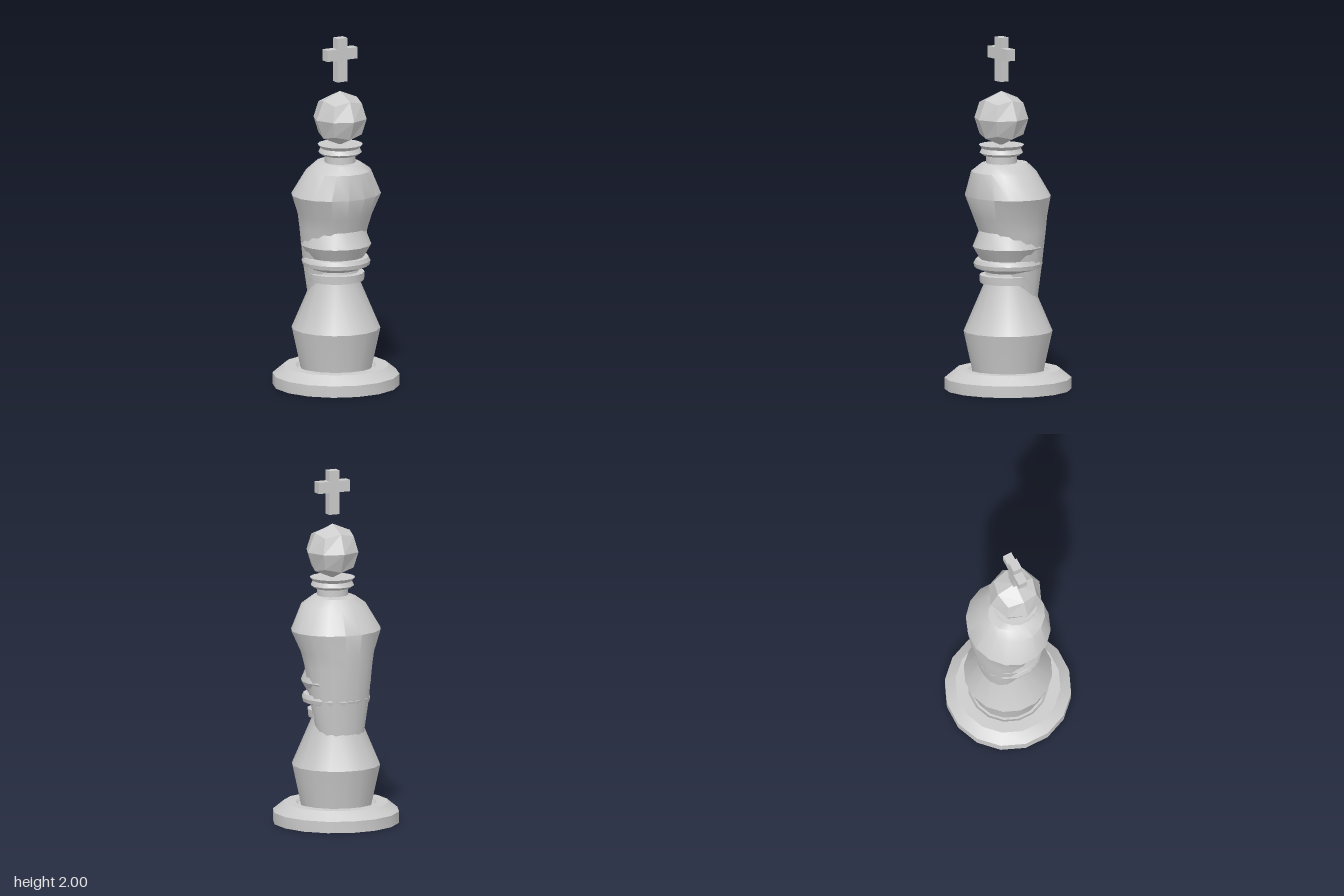
import * as THREE from 'three';
import { toCreasedNormals } from 'three/addons/utils/BufferGeometryUtils.js';

const SIDES = 16;
const HEAD_Z = 0.045; // neck, head and cross sit slightly forward

const material = new THREE.MeshStandardMaterial({ color: 0xcccccc });
const facetMaterial = new THREE.MeshStandardMaterial({ color: 0xcccccc, flatShading: true });

function addMesh(group, name, geometry, mat = material) {
  const mesh = new THREE.Mesh(geometry, mat);
  mesh.name = name;
  group.add(mesh);
  return mesh;
}

// 16-sided turned shape with a flat facing front; profile is [radius, y] upward
function turned(profile) {
  const grow = 1 / Math.cos(Math.PI / SIDES);
  const points = profile.map(([r, y]) => new THREE.Vector2(r * grow, y));
  return new THREE.LatheGeometry(points, SIDES, Math.PI / SIDES);
}

// Turned shape with oval, shifted rings: [y, half width, front z, back z]
function ovalBody(rings) {
  const geometry = turned(rings.map(([y, rx]) => [rx, y]));
  const pos = geometry.attributes.position;
  for (let i = 0; i < pos.count; i++) {
    const [, rx, front, back] = rings[i % rings.length];
    const stretch = rx > 0 ? (front - back) / 2 / rx : 0;
    pos.setZ(i, pos.getZ(i) * stretch + (front + back) / 2);
  }
  return geometry;
}

const soften = (geometry) => toCreasedNormals(geometry, 0.6);

export function createModel() {
  const group = new THREE.Group();
  group.name = 'chessKing';

  // Bevelled foot with a shallow groove around the skirt
  addMesh(group, 'base', soften(turned([
    [0, 0], [0.35, 0], [0.35, 0.065], [0.29, 0.115], [0.225, 0.115], [0.21, 0.1], [0, 0.1],
  ])));

  addMesh(group, 'skirt', soften(turned([
    [0.195, 0.09], [0.2, 0.12], [0.245, 0.33], [0.13, 0.605], [0.12, 0.7],
  ])));

  // Belts and folded sleeves that emerge at the front of the robe
  addMesh(group, 'lowerBelt', soften(turned([
    [0.1, 0.605], [0.155, 0.605], [0.158, 0.65], [0.1, 0.655],
  ])));
  addMesh(group, 'upperBelt', soften(turned([
    [0.11, 0.66], [0.185, 0.692], [0.19, 0.715], [0.18, 0.738], [0.12, 0.742],
  ])));
  addMesh(group, 'waistBand', soften(turned([
    [0.12, 0.725], [0.155, 0.74], [0.195, 0.81], [0.16, 0.9], [0.08, 0.905],
  ])));

  // Robe: full shoulders narrowing to the back of the skirt
  addMesh(group, 'robe', soften(ovalBody([
    [0.47, 0, -0.05, -0.05],
    [0.475, 0.13, 0.04, -0.16],
    [0.7, 0.168, 0.1, -0.187],
    [0.9, 0.19, 0.157, -0.212],
    [0.98, 0.205, 0.19, -0.218],
    [1.1, 0.255, 0.23, -0.227],
    [1.24, 0.18, 0.208, -0.15],
    [1.285, 0.115, 0.16, -0.11],
    [1.295, 0, HEAD_Z, HEAD_Z],
  ])));

  // Neck and flared collar
  addMesh(group, 'neck', soften(turned([[0.085, 1.27], [0.085, 1.345]])))
    .position.z = HEAD_Z;
  addMesh(group, 'collar', soften(turned([
    [0, 1.33], [0.1, 1.33], [0.12, 1.345], [0.108, 1.37], [0.125, 1.39], [0, 1.39],
  ]))).position.z = HEAD_Z;

  // Head: subdivided cube pushed out to a sphere
  const head = new THREE.BoxGeometry(1, 1, 1, 2, 2, 2);
  const pos = head.attributes.position;
  const v = new THREE.Vector3();
  for (let i = 0; i < pos.count; i++) {
    v.fromBufferAttribute(pos, i).setLength(0.154);
    pos.setXYZ(i, v.x, v.y, v.z);
  }
  addMesh(group, 'head', head, facetMaterial).position.set(0, 1.54, HEAD_Z);

  // Floating cross
  const [w, a, bottom, low, high, top] = [0.032, 0.098, 1.75, 1.875, 1.94, 2];
  const outline = [
    [-w, bottom], [w, bottom], [w, low], [a, low], [a, high], [w, high],
    [w, top], [-w, top], [-w, high], [-a, high], [-a, low], [-w, low],
  ].map(([x, y]) => new THREE.Vector2(x, y));
  const cross = new THREE.ExtrudeGeometry(new THREE.Shape(outline), { depth: 0.052, bevelEnabled: false });
  addMesh(group, 'cross', cross, facetMaterial).position.z = HEAD_Z - 0.026;

  return group;
}
